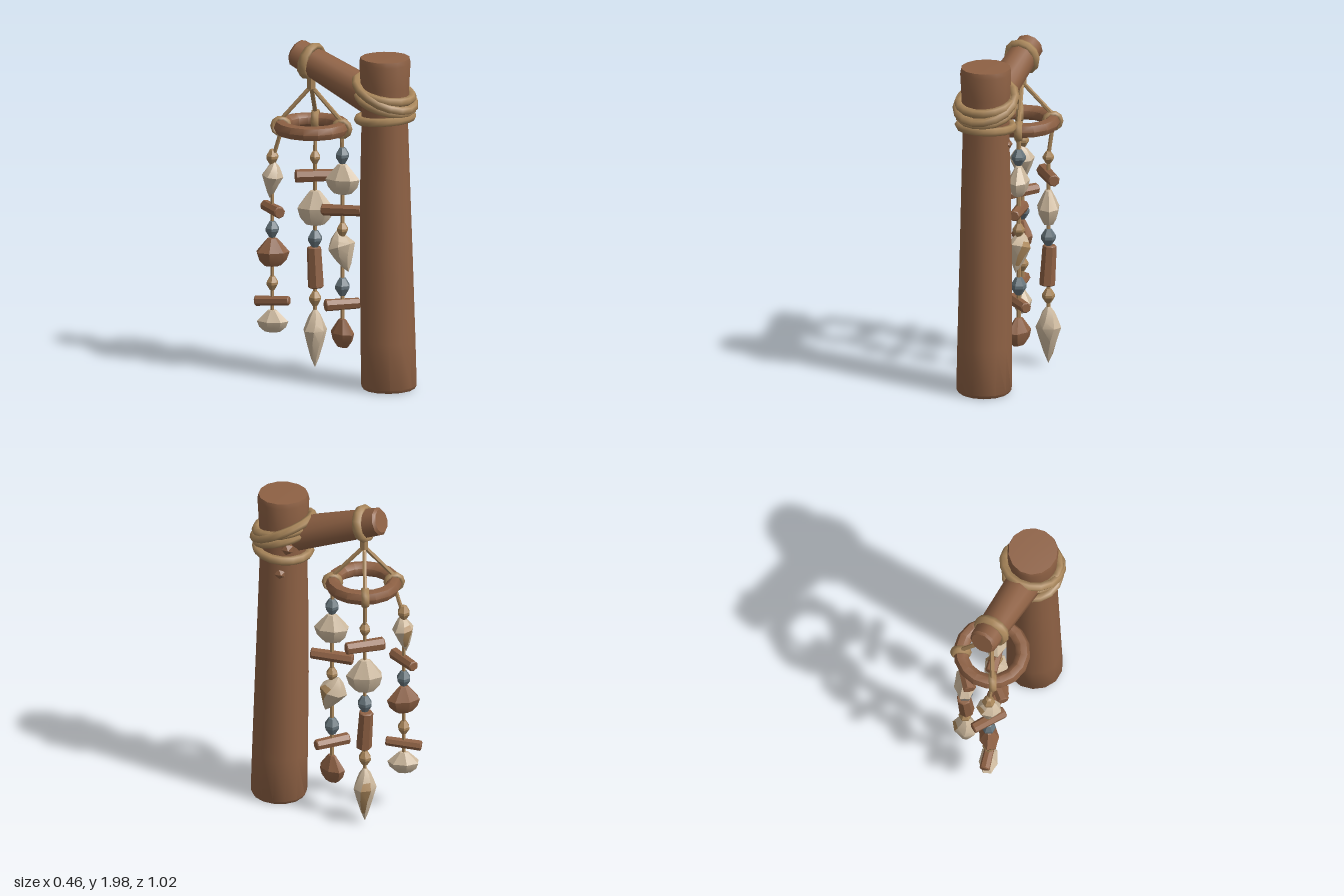
import * as THREE from 'three';
import { toCreasedNormals } from 'three/addons/utils/BufferGeometryUtils.js';

const V = (x, y, z) => new THREE.Vector3(x, y, z);
const UP = V(0, 1, 0);

export function createModel() {
  const root = new THREE.Group();
  const mat = (name, color) => Object.assign(new THREE.MeshStandardMaterial({ color }), { name });
  const wood = mat('wood', 0x8e6144);
  const rope = mat('rope', 0xaa875b);
  const shell = mat('paleShell', 0xcdb99e);
  const grey = mat('greyBead', 0x66747b);

  const add = (name, geo, material, parent = root, crease = 0.7) => {
    const mesh = new THREE.Mesh(toCreasedNormals(geo, crease), material);
    mesh.name = name;
    parent.add(mesh);
    return mesh;
  };
  const lathe = (pts, sides) =>
    new THREE.LatheGeometry(pts.map(([r, y]) => new THREE.Vector2(r, y)), sides);

  // Round bar with bevelled ends between two points
  const bar = (name, a, b, r1, r2, sides, material, parent, bevel = 0.012) => {
    const len = a.distanceTo(b);
    const geo = lathe([[0, 0], [r1 - bevel, 0], [r1, bevel], [r2, len - bevel], [r2 - bevel, len], [0, len]], sides);
    const mesh = add(name, geo, material, parent);
    mesh.position.copy(a);
    mesh.quaternion.setFromUnitVectors(UP, b.clone().sub(a).normalize());
    return mesh;
  };
  const cord = (name, a, b, r, parent) => bar(name, a, b, r, r, 6, rope, parent, 0.002);

  // Post, slightly bowed and uneven
  const postGeo = lathe([[0, 0.01], [0.15, 0.01], [0.163, 0.03], [0.161, 0.3], [0.155, 0.8], [0.147, 1.2],
    [0.136, 1.6], [0.143, 1.8], [0.15, 1.94], [0.143, 1.97], [0, 1.975]], 14);
  const p = postGeo.attributes.position;
  for (let i = 0; i < p.count; i++) {
    const x = p.getX(i), y = p.getY(i), z = p.getZ(i);
    const k = 1 + 0.015 * Math.sin(3 * Math.atan2(x, z) + y * 2);
    p.setXYZ(i, x * k, y, z * k - 0.025 * Math.sin(y * 0.95));
  }
  add('post', postGeo, wood).position.set(0.02, 0, 0.355);

  // Beam and bark knots
  const beamY = z => 1.74 + (0.2 - z) * 0.37;
  bar('beam', V(0.01, beamY(0.3), 0.3), V(0, beamY(-0.29), -0.29), 0.107, 0.083, 10, wood, root, 0.014);
  [[0.13, 1.51, 0.295], [0.13, 1.68, 0.25]].forEach(([x, y, z]) => {
    add('knot', new THREE.IcosahedronGeometry(0.04, 0), wood, root, 0.3).position.set(x, y, z);
  });

  // Rope lashing around the post: height, tilt, radius, tube
  [[1.76, 0.44, 0.168, 0.026], [1.765, 0.2, 0.157, 0.026], [1.71, 0.3, 0.157, 0.025], [1.615, -0.08, 0.156, 0.026]]
    .forEach(([y, tilt, r, t]) => {
      const geo = new THREE.TorusGeometry(r, t, 6, 16).rotateX(Math.PI / 2)
        .scale(1, 1, 1 / Math.cos(tilt)).rotateX(tilt);
      add('lashing', geo, rope, root, 1.2).position.set(0.02, y, 0.33);
    });

  // Hanging loop on the beam
  const loop = add('beamLoop', new THREE.TorusGeometry(0.09, 0.022, 6, 12).rotateX(0.15), rope, root, 1.2);
  loop.scale.z = 1.4;
  loop.position.set(0, beamY(-0.18), -0.18);
  cord('loopKnot', V(0, 1.715, -0.18), V(0, 1.81, -0.18), 0.026, root);

  // Wooden ring
  const RC = V(0, 1.49, -0.175);
  add('ring', new THREE.TorusGeometry(0.179, 0.044, 7, 16).rotateX(Math.PI / 2), wood, root, 0.9).position.copy(RC);

  // Strand pieces, each centred on its own origin
  const bead = (g, y, r, m) =>
    add('bead', lathe([[0, -r * 1.3], [r * 0.45, -r * 1.1], [r, -r * 0.2], [r, r * 0.2], [r * 0.45, r * 1.1], [0, r * 1.3]], 6),
      m, g, 0.4).position.y = y;

  const log = (g, y, len, r, dir) => {
    const d = V(...dir).normalize().multiplyScalar(len / 2);
    const c = V(0, y, 0);
    bar('woodPeg', c.clone().sub(d), c.clone().add(d), r, r * 0.9, 7, wood, g, 0.006);
  };

  // Ribbed fan shell, narrow at the top
  const fan = (g, y, w, h, m, yaw) => {
    const geo = lathe([[0, -0.5], [0.5, -0.45], [0.85, -0.25], [1, 0], [0.62, 0.25], [0.3, 0.45], [0, 0.5]], 14);
    const q = geo.attributes.position;
    for (let i = 0; i < q.count; i++) {
      const k = 1 - 0.12 * (Math.round(Math.atan2(q.getX(i), q.getZ(i)) / (Math.PI / 7) + 14) % 2);
      q.setXYZ(i, q.getX(i) * k * w * 0.6, q.getY(i) * h, q.getZ(i) * k * w);
    }
    const mesh = add('fanShell', geo, m, g, 0.45);
    mesh.position.y = y;
    mesh.rotation.y = yaw;
  };

  // Spiral shell with a tan opening on one facet
  const spiral = (g, y, w, h, yaw, lean) => {
    const pts = [[0, -0.5], [0.35, -0.34], [0.7, -0.1], [1, 0.12], [0.75, 0.24], [0.5, 0.36], [0, 0.5]];
    const geo = lathe(pts, 7);
    const q = geo.attributes.position;
    for (let i = 0; i < q.count; i++) {
      const v = V(q.getX(i), q.getY(i), q.getZ(i)).applyAxisAngle(UP, q.getY(i) * 1.1);
      q.setXYZ(i, v.x * w * 0.85, v.y * h, v.z * w);
    }
    const row = (pts.length - 1) * 6;
    geo.clearGroups();
    geo.addGroup(0, 6, 0);
    geo.addGroup(6, 18, 1);
    geo.addGroup(24, row * 7 - 24, 0);
    const mesh = add('spiralShell', geo, [shell, rope], g, 0.5);
    mesh.position.y = y;
    mesh.rotation.set(lean, yaw, 0);
  };

  // Strand positions on the ring, with hanging cords and ring wraps
  const strand = (name, x, z, bottom, drift = 0) => {
    const g = new THREE.Group();
    g.name = name;
    g.position.set(x, 0, z - drift);
    root.add(g);
    const dir = V(x, 0, z - RC.z).normalize();
    const at = RC.clone().addScaledVector(dir, 0.179);
    cord('ringCord', V(0, 1.73, -0.18), at.clone().setY(1.53), 0.013, root);
    const wrap = add('ringWrap', new THREE.TorusGeometry(0.046, 0.017, 6, 10), rope, root, 1.2);
    wrap.position.copy(at);
    wrap.rotation.y = -Math.atan2(dir.z, dir.x);
    wrap.scale.z = 1.5;
    cord('strandTop', at.clone().setY(1.46), V(x, 1.28, z - drift), 0.012, root);
    cord('strandCord', V(0, bottom, 0), V(0, 1.29, 0), 0.012, g);
    return g;
  };

  const a = strand('nearStrand', 0.065, -0.005, 0.3);
  bead(a, 1.33, 0.042, grey);
  fan(a, 1.19, 0.105, 0.19, shell, 0.3);
  log(a, 1.005, 0.25, 0.036, [0.25, 0.06, 1]);
  bead(a, 0.89, 0.035, rope);
  spiral(a, 0.76, 0.085, 0.25, 0.5, -0.35);
  bead(a, 0.55, 0.046, grey);
  log(a, 0.445, 0.21, 0.036, [1, 0, 0.8]);
  fan(a, 0.275, 0.09, 0.18, wood, -0.3);

  const b = strand('leftStrand', 0.135, -0.25, 0.3);
  bead(b, 1.27, 0.033, rope);
  log(b, 1.16, 0.23, 0.04, [0.75, 0, 0.8]);
  fan(b, 0.97, 0.11, 0.22, shell, 0.5);
  bead(b, 0.785, 0.044, grey);
  log(b, 0.615, 0.24, 0.047, [0.03, 1, -0.08]);
  bead(b, 0.43, 0.038, rope);
  spiral(b, 0.2, 0.078, 0.36, 1.6, 0);

  const c = strand('rearStrand', -0.1, -0.34, 0.33, 0.045);
  bead(c, 1.3, 0.038, rope);
  spiral(c, 1.165, 0.075, 0.23, 2, 0.15);
  log(c, 0.99, 0.21, 0.036, [0.5, 0, -0.87]);
  bead(c, 0.87, 0.042, grey);
  fan(c, 0.735, 0.1, 0.18, wood, 0.7);
  bead(c, 0.55, 0.036, rope);
  log(c, 0.445, 0.21, 0.031, [0.3, 0.08, 1]);
  fan(c, 0.325, 0.095, 0.14, shell, 0.4);

  return root;
}
